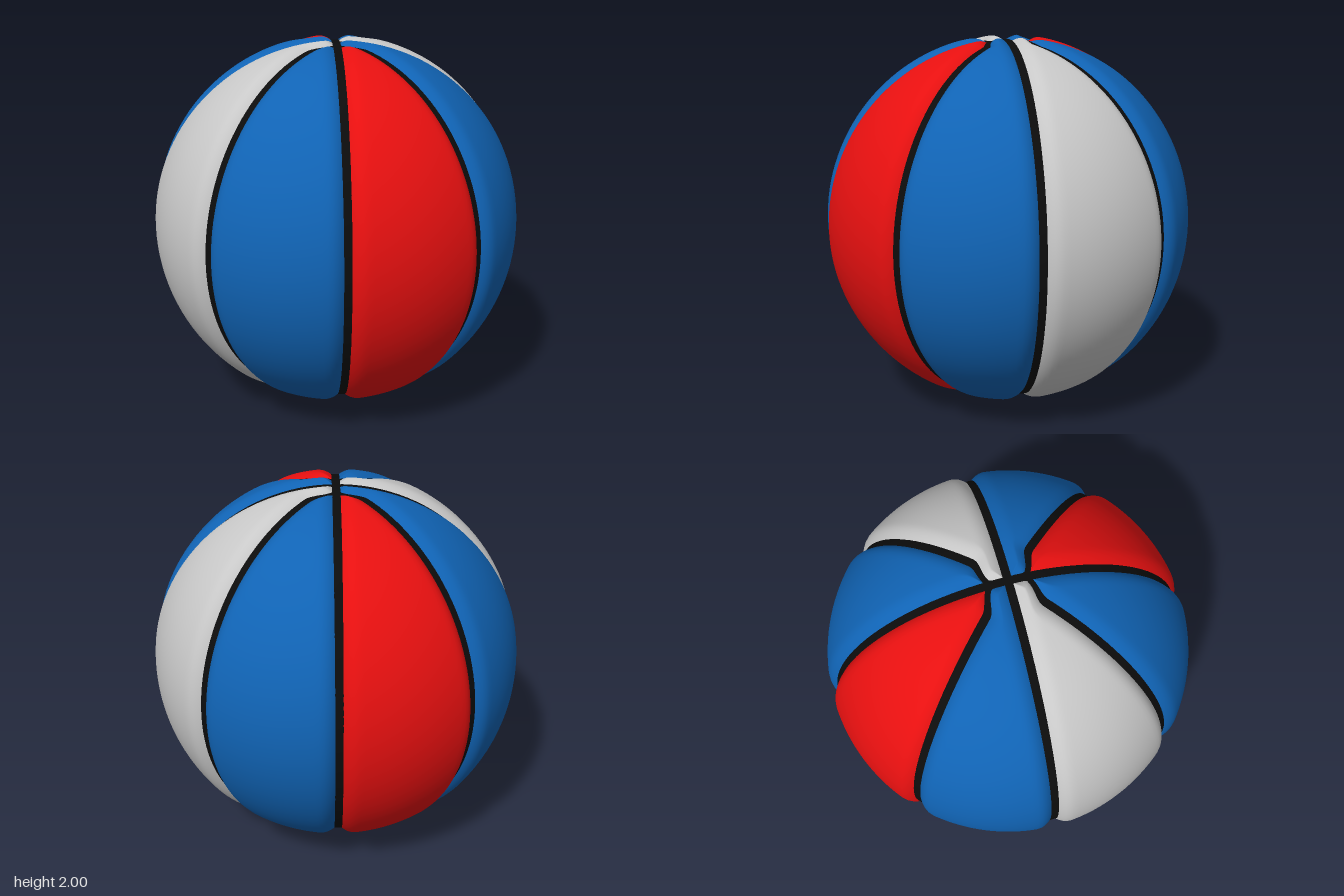
import * as THREE from 'three';

const HALF_SEAM = 0.018;   // half width of the black channel
const ROUNDING = 0.085;    // width of the rolled panel edge

const coreRadius = (theta) => 0.957 + 0.023 * Math.cos(theta) ** 2;
const panelRadius = (theta) => 0.993 + 0.014 * Math.cos(theta) ** 2;

// Azimuth (from +z towards +x) of seam k at horizontal radius rho.
// Diagonal seams curve near the poles to join the front-back seam.
function seamAngle(k, rho) {
  if (k % 2 === 0) return k * Math.PI / 4;
  const x = THREE.MathUtils.clamp((rho - 0.09) / 0.12, 0, 1);
  const bend = Math.PI / 4 * (1 - (1 - x) ** 2);
  return [bend, Math.PI - bend, Math.PI + bend, 2 * Math.PI - bend][(k - 1) / 2];
}

// Clusters samples towards both ends of 0..1
const ease = (u) => (1 - Math.cos(Math.PI * u)) / 2;

// Padded gore between seams k and k + 1, rolled down into the channels
function panelGeometry(k) {
  const rows = 96, cols = 28;
  const touchesFrontBackSeam = [0, 3, 4, 7].includes(k);
  const start = Math.asin(touchesFrontBackSeam ? 0.118 : 0.027);
  const positions = [], indices = [];
  for (let i = 0; i <= rows; i++) {
    const theta = start + (Math.PI - 2 * start) * ease(i / rows);
    const rho = Math.sin(theta);
    const inset = Math.asin(Math.min(1, HALF_SEAM / rho));
    let a0 = seamAngle(k, rho) + inset;
    let a1 = seamAngle(k + 1, rho) - inset;
    if (a1 < a0) a0 = a1 = (a0 + a1) / 2;
    for (let j = 0; j <= cols; j++) {
      const a = a0 + (a1 - a0) * ease(j / cols);
      const edge = rho * Math.min(a - a0, a1 - a);
      const s = Math.min(1, edge / ROUNDING);
      const r = THREE.MathUtils.lerp(coreRadius(theta) - 0.003, panelRadius(theta), 1 - (1 - s) ** 2.2);
      positions.push(r * rho * Math.sin(a), r * Math.cos(theta), r * rho * Math.cos(a));
      if (i < rows && j < cols) {
        const p = i * (cols + 1) + j, q = p + cols + 1;
        indices.push(p, q, q + 1, p, q + 1, p + 1);
      }
    }
  }
  const geometry = new THREE.BufferGeometry();
  geometry.setAttribute('position', new THREE.Float32BufferAttribute(positions, 3));
  geometry.setIndex(indices);
  geometry.computeVertexNormals();
  return geometry;
}

export function createModel() {
  const material = (name, color) => {
    const m = new THREE.MeshStandardMaterial({ color });
    m.name = name;
    return m;
  };
  const blue = material('blue', 0x1063b4);
  const red = material('red', 0xe81010);
  const white = material('white', 0xc8c8c8);
  const black = material('black', 0x0c0c0c);

  const ball = new THREE.Group();
  ball.name = 'ball';
  ball.position.y = 1;

  // Black core showing through the channels
  const profile = [];
  for (let i = 0; i <= 64; i++) {
    const theta = Math.PI * (1 - i / 64);
    const r = coreRadius(theta);
    profile.push(new THREE.Vector2(Math.max(0, r * Math.sin(theta)), r * Math.cos(theta)));
  }
  const core = new THREE.Mesh(new THREE.LatheGeometry(profile, 128), black);
  core.name = 'seamCore';
  ball.add(core);

  // Eight panels around the ball
  [red, blue, white, blue, red, blue, white, blue].forEach((mat, k) => {
    const panel = new THREE.Mesh(panelGeometry(k), mat);
    panel.name = `${mat.name}Panel${k + 1}`;
    ball.add(panel);
  });

  const model = new THREE.Group();
  model.name = 'panelBall';
  model.add(ball);
  return model;
}
